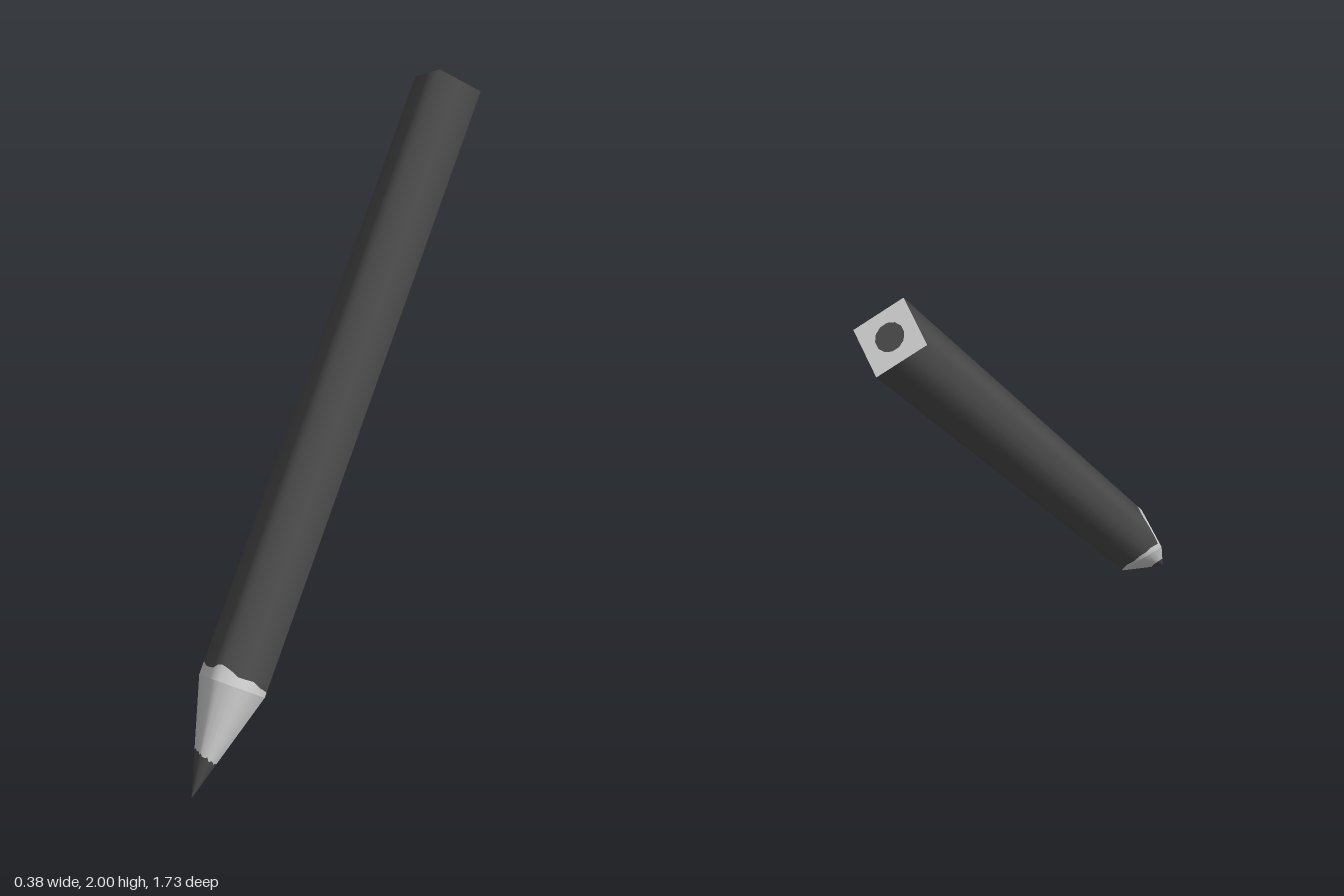
import * as THREE from 'three';

const RADIUS = 0.12;     // half diagonal of the square body
const SHOULDER = 0.38;   // where the sharpened point meets the body
const LENGTH = 2.53;
const STEPS = 6;         // samples per side of the square

// Wavy borders, sampled once around: left, upper, right and lower ridge
const paintEdge = [
  0.018, 0.024, 0.036, 0.034, 0.033, 0.044,
  0.052, 0.054, 0.050, 0.036, 0.034, 0.035,
  0.046, 0.050, 0.036, 0.034, 0.022, 0.026,
  0.012, 0.010, 0.016, 0.025, 0.023, 0.027,
];
const coreEdge = [
  0.130, 0.126, 0.134, 0.128, 0.140, 0.136,
  0.138, 0.146, 0.140, 0.150, 0.146, 0.154,
  0.150, 0.140, 0.144, 0.132, 0.134, 0.120,
  0.110, 0.116, 0.112, 0.124, 0.120, 0.128,
];
const corners = [[1, 0], [0, 1], [-1, 0], [0, -1]];

// Wall around the square section between two borders, smooth over the ridges
function wall(name, material, low, high, slope) {
  const positions = [], normals = [], indices = [];
  const count = 4 * STEPS;
  for (let i = 0; i <= count; i++) {
    const k = i % count, side = Math.floor(k / STEPS), f = (k % STEPS) / STEPS;
    const a = corners[side], b = corners[(side + 1) % 4];
    const x = a[0] + (b[0] - a[0]) * f, z = a[1] + (b[1] - a[1]) * f;
    const n = new THREE.Vector3(x, 0, z).normalize();
    n.y = -slope;
    n.normalize();
    for (const y of [low(k), high(k)]) {
      const r = RADIUS * Math.min(1, y / SHOULDER);
      positions.push(x * r, y, z * r);
      normals.push(n.x, n.y, n.z);
    }
    if (i < count) {
      const p = 2 * i;
      indices.push(p, p + 1, p + 2, p + 2, p + 1, p + 3);
    }
  }
  const geometry = new THREE.BufferGeometry();
  geometry.setAttribute('position', new THREE.Float32BufferAttribute(positions, 3));
  geometry.setAttribute('normal', new THREE.Float32BufferAttribute(normals, 3));
  geometry.setIndex(indices);
  const mesh = new THREE.Mesh(geometry, material);
  mesh.name = name;
  return mesh;
}

// Flat face across the blunt end
function endFace(name, material, radius, sides, y) {
  const mesh = new THREE.Mesh(new THREE.CircleGeometry(radius, sides).rotateX(-Math.PI / 2), material);
  mesh.position.y = y;
  mesh.name = name;
  return mesh;
}

export function createModel() {
  const paint = new THREE.MeshStandardMaterial({ color: 0x4b4b4b });
  paint.name = 'dark paint';
  const wood = new THREE.MeshStandardMaterial({ color: 0xd2d2d2 });
  wood.name = 'pale wood';
  const graphite = new THREE.MeshStandardMaterial({ color: 0x4a4a4a });
  graphite.name = 'graphite';

  const slope = RADIUS / SHOULDER;
  const border = (k) => SHOULDER + paintEdge[k];
  const pencil = new THREE.Group();
  pencil.name = 'pencil';
  pencil.add(
    wall('graphiteTip', graphite, () => 0, (k) => coreEdge[k], slope),
    wall('sharpenedWood', wood, (k) => coreEdge[k], () => SHOULDER, slope),
    wall('bareWoodBand', wood, () => SHOULDER, border, 0),
    wall('paintedBody', paint, border, () => LENGTH, 0),
    endFace('woodEnd', wood, RADIUS, 4, LENGTH),
    endFace('graphiteEnd', graphite, 0.045, 12, LENGTH + 0.002),
  );

  // Lean the pencil back, standing on its tip with one ridge facing up
  const axis = new THREE.Vector3(0.17, 1.925, -1.635).normalize();
  const left = new THREE.Vector3(0.12, -0.01, 0);
  left.addScaledVector(axis, -left.dot(axis)).normalize();
  const ridge = new THREE.Vector3().crossVectors(left, axis);
  pencil.quaternion.setFromRotationMatrix(new THREE.Matrix4().makeBasis(left, axis, ridge));
  pencil.position.set(-0.1, 0, 0.86);

  const model = new THREE.Group();
  model.name = 'leaningPencil';
  model.add(pencil);
  return model;
}
